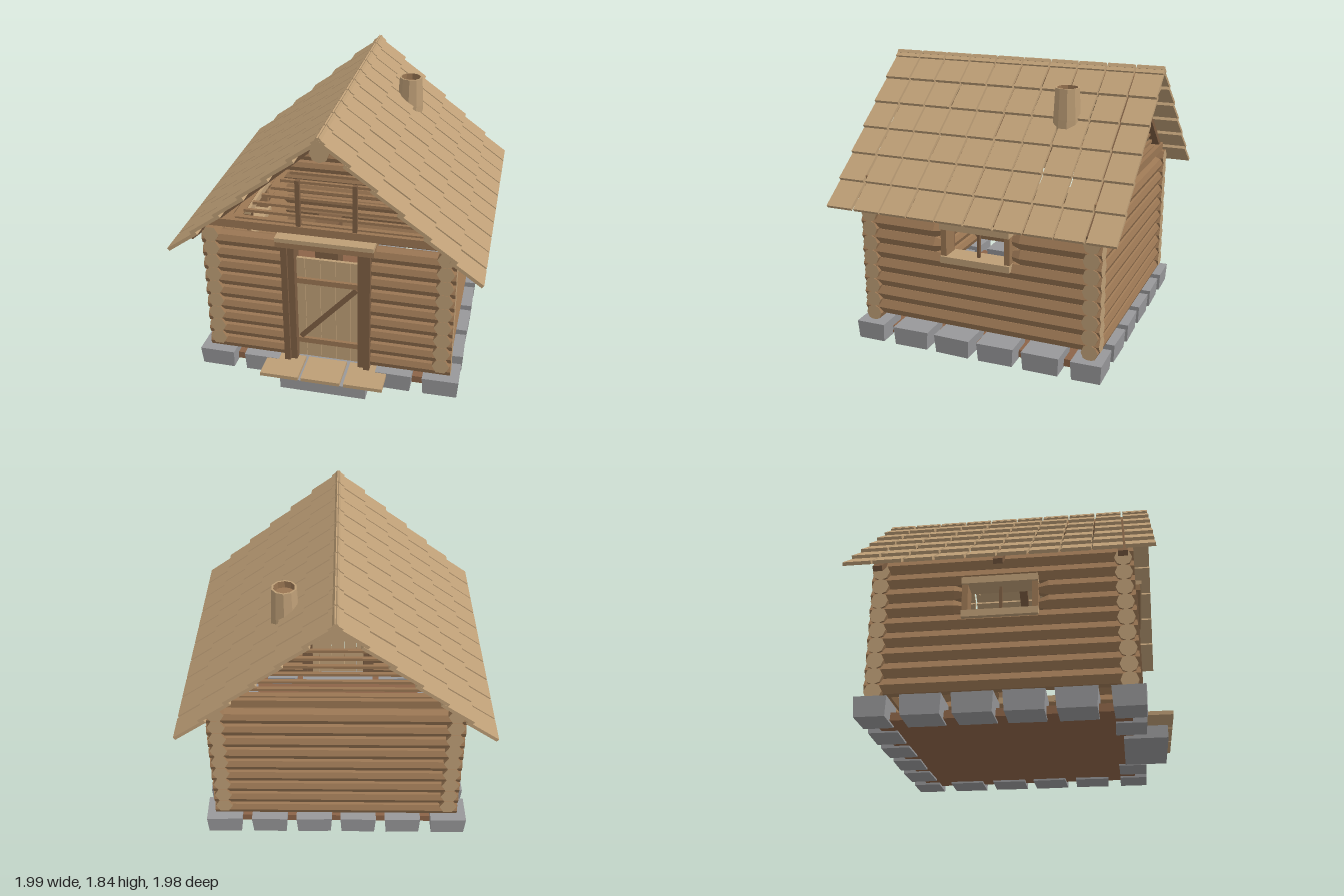
import * as THREE from 'three';

const mat = (name, color) => {
  const m = new THREE.MeshStandardMaterial({ color });
  m.name = name;
  return m;
};

export function createModel() {
  const tan = mat('pale timber', 0xbd9e76);
  const bark = mat('log brown', 0x9a7653);
  const dark = mat('dark timber', 0x7c5d42);
  const stone = mat('grey stone', 0x98989a);
  const earth = mat('floor brown', 0x8c6448);

  const model = new THREE.Group();
  model.name = 'logCabin';
  let seed = 7;
  const jitter = (a) => {
    seed = (seed * 16807) % 2147483647;
    return (seed / 2147483647 - 0.5) * 2 * a;
  };

  // faceted mesh
  const add = (name, geo, material, x = 0, y = 0, z = 0, parent = model) => {
    const g = geo.index ? geo.toNonIndexed() : geo;
    g.computeVertexNormals();
    const mesh = new THREE.Mesh(g, material);
    mesh.name = name;
    mesh.position.set(x, y, z);
    parent.add(mesh);
    return mesh;
  };
  const box = (name, m, w, h, d, x, y, z, parent) =>
    add(name, new THREE.BoxGeometry(w, h, d), m, x, y, z, parent);
  // box given by its limits
  const span = (name, m, x0, x1, y0, y1, z0, z1, parent) =>
    box(name, m, x1 - x0, y1 - y0, z1 - z0, (x0 + x1) / 2, (y0 + y1) / 2, (z0 + z1) / 2, parent);
  const group = (name) => {
    const g = new THREE.Group();
    g.name = name;
    model.add(g);
    return g;
  };

  // log between two coordinates along x or z, with pale sawn ends
  const log = (name, axis, a, b, u, y, parent, sides = 6, r0 = 0.057, r1 = r0) => {
    const geo = new THREE.CylinderGeometry(r1, r0, b - a, sides);
    if (axis === 'x') geo.rotateZ(-Math.PI / 2);
    else geo.rotateY(Math.PI / 2).rotateX(Math.PI / 2);
    const c = (a + b) / 2;
    return add(name, geo, [bark, tan, tan], axis === 'x' ? c : u, y, axis === 'x' ? u : c, parent);
  };

  const FRONT = 0.735, BACK = -0.79, SIDE = 0.755, PITCH = 0.101;

  // floor
  span('floor', earth, -0.75, 0.75, 0.02, 0.07, -0.79, 0.74);

  // foundation stones, a little narrower at the bottom
  const stones = group('foundation');
  const addStone = (x, z, w, d, h = 0.125) => {
    const geo = new THREE.BoxGeometry(w, h, d);
    const p = geo.attributes.position;
    for (let i = 0; i < p.count; i++) {
      const k = p.getY(i) < 0 ? 0.93 : 1;
      p.setXYZ(i, p.getX(i) * k, p.getY(i), p.getZ(i) * k);
    }
    const m = add('foundationStone', geo, stone, x, h / 2 + 0.008, z, stones);
    m.rotation.set(0, jitter(0.03), jitter(0.02));
  };
  for (const s of [-1, 1]) {
    for (const z of [0.73, 0.43, 0.125, -0.175, -0.485, -0.785]) addStone(s * 0.76, z, 0.24, z > 0.7 || z < -0.7 ? 0.2 : 0.25);
    addStone(s * 0.45, 0.73, 0.24, 0.2);
    for (const x of [0.15, 0.45]) addStone(s * x, -0.785, 0.24, 0.2);
  }
  span('stepStone', stone, -0.285, 0.29, 0, 0.08, 0.68, 0.955);

  // porch boards
  for (const [a, b] of [[-0.41, -0.155], [-0.135, 0.125], [0.15, 0.405]])
    span('stepBoard', tan, a, b, 0.105, 0.13, 0.76, 0.99);

  // log walls
  const walls = group('walls');
  for (let k = 0; k < 9; k++) {
    const yEnd = 0.182 + PITCH * k, ySide = 0.226 + PITCH * k;
    log('backLog', 'x', -0.82, 0.82, BACK, yEnd, walls, 8, 0.055);
    log('frontLogRight', 'x', -0.82, -0.27, FRONT, yEnd, walls, 8, 0.055);
    log('frontLogLeft', 'x', 0.27, 0.82, FRONT, yEnd, walls, 8, 0.055);
    for (const s of [-1, 1]) {
      if (k === 5 || k === 6) {
        // logs cut for the window, tapering into the frame
        log('sideLogFront', 'z', 0.27, 0.8, s * SIDE, ySide, walls);
        log('sideLogFrontTip', 'z', 0.2, 0.27, s * SIDE, ySide, walls, 6, 0.032, 0.057);
        log('sideLogBack', 'z', -0.85, -0.32, s * SIDE, ySide, walls);
        log('sideLogBackTip', 'z', -0.32, -0.25, s * SIDE, ySide, walls, 6, 0.057, 0.032);
      } else log('sideLog', 'z', -0.85, 0.8, s * SIDE, ySide, walls);
    }
  }

  // window frames
  for (const s of [-1, 1]) {
    const win = group(s > 0 ? 'leftWindow' : 'rightWindow');
    const x = s * 0.765;
    for (const y of [0.885, 0.658]) box('windowRail', tan, 0.15, 0.045, 0.475, x, y, -0.028, win);
    for (const z of [0.19, -0.246]) box('windowPost', bark, 0.12, 0.19, 0.037, x, 0.77, z, win);
    box('windowBar', dark, 0.02, 0.19, 0.018, x, 0.77, -0.03, win);
  }

  // doorway and door
  const door = group('door');
  for (const s of [-1, 1]) {
    box('outerJamb', dark, 0.04, 0.89, 0.15, s * 0.268, 0.575, 0.745, door);
    box('innerJamb', dark, 0.042, 0.89, 0.11, s * 0.227, 0.575, 0.745, door);
  }
  span('lintel', bark, -0.315, 0.315, 1.02, 1.062, 0.66, 0.84, door);
  span('lintelCap', tan, -0.315, 0.315, 1.062, 1.09, 0.66, 0.85, door);
  for (let i = -2; i <= 2; i++) box('doorPlank', tan, 0.097, 0.77, 0.022, i * 0.1, 0.515, 0.735, door);
  for (const y of [0.74, 0.27]) box('doorBatten', bark, 0.4, 0.038, 0.022, 0, y, 0.757, door);
  box('doorBrace', dark, 0.56, 0.03, 0.02, 0.005, 0.505, 0.757, door).rotation.z = Math.atan2(0.41, 0.37);

  // gables with open slats
  for (const z of [FRONT, BACK]) {
    const gable = group(z > 0 ? 'frontGable' : 'backGable');
    box('tieBeam', bark, 1.56, 0.055, 0.08, 0.02, 1.115, z, gable);
    for (let i = 0; i < 7; i++)
      box('gableSlat', bark, 2 * (0.6 - 0.0617 * i), 0.018, 0.022, 0, 1.145 + 0.0592 * i, z, gable);
    if (z > 0) for (const x of [-0.18, 0.18]) box('gablePost', dark, 0.028, 0.32, 0.03, x, 1.3, z + 0.02, gable);
  }

  // roof: place a board on a slope by distance down it and depth below it
  const roof = group('roof');
  const A = Math.atan(0.875), ca = Math.cos(A), sa = Math.sin(A);
  const onSlope = (name, m, side, s, d, len, thick, width, z, tilt = 0) => {
    const mesh = box(name, m, len, thick, width, side * (s * ca - d * sa), 1.85 - s * sa - d * ca, z, roof);
    mesh.rotation.z = -side * (A - tilt);
    return mesh;
  };
  for (const side of [-1, 1]) {
    for (const z of [FRONT, -0.03, BACK]) onSlope('rafter', dark, side, 0.66, 0.066, 1.2, 0.034, 0.06, z);
    // ten columns of overlapping shingles
    for (let c = 0; c < 10; c++) {
      const z = 0.843 - c * 0.1935;
      for (let r = 0; r < 6; r++) {
        const end = 1.325 - r * 0.2125;
        onSlope('shingle', tan, side, end - 0.122, 0.024, 0.245, 0.022, 0.18, z + jitter(0.002), 0.1);
      }
      onSlope('ridgeShingle', tan, side, 0.036, 0.022, 0.065, 0.022, 0.18, z, 0.1);
    }
  }
  log('ridgeLog', 'z', -0.96, 0.91, 0, 1.725, roof, 8, 0.06);

  // chimney: open faceted pipe
  const pipe = [[0.093, 1.38], [0.091, 1.53], [0.08, 1.725], [0.068, 1.725], [0.068, 1.68], [0, 1.68]]
    .map(([r, y]) => new THREE.Vector2(r, y));
  add('chimney', new THREE.LatheGeometry(pipe.slice(0, 4), 10), tan, 0.32, 0, -0.45);
  add('chimneyInside', new THREE.LatheGeometry(pipe.slice(3), 10), bark, 0.32, 0, -0.45);

  // stove and firewood inside
  box('stove', dark, 0.18, 0.42, 0.16, -0.25, 0.39, -0.29);
  for (const t of [-0.6, 0, 0.6]) {
    const wood = add('firewood', new THREE.CylinderGeometry(0.022, 0.022, 0.26, 6).rotateX(Math.PI / 2),
      [bark, tan, tan], -0.25 + t * 0.1, 0.13, -0.29);
    wood.rotation.x = t * 0.5;
  }
  return model;
}
